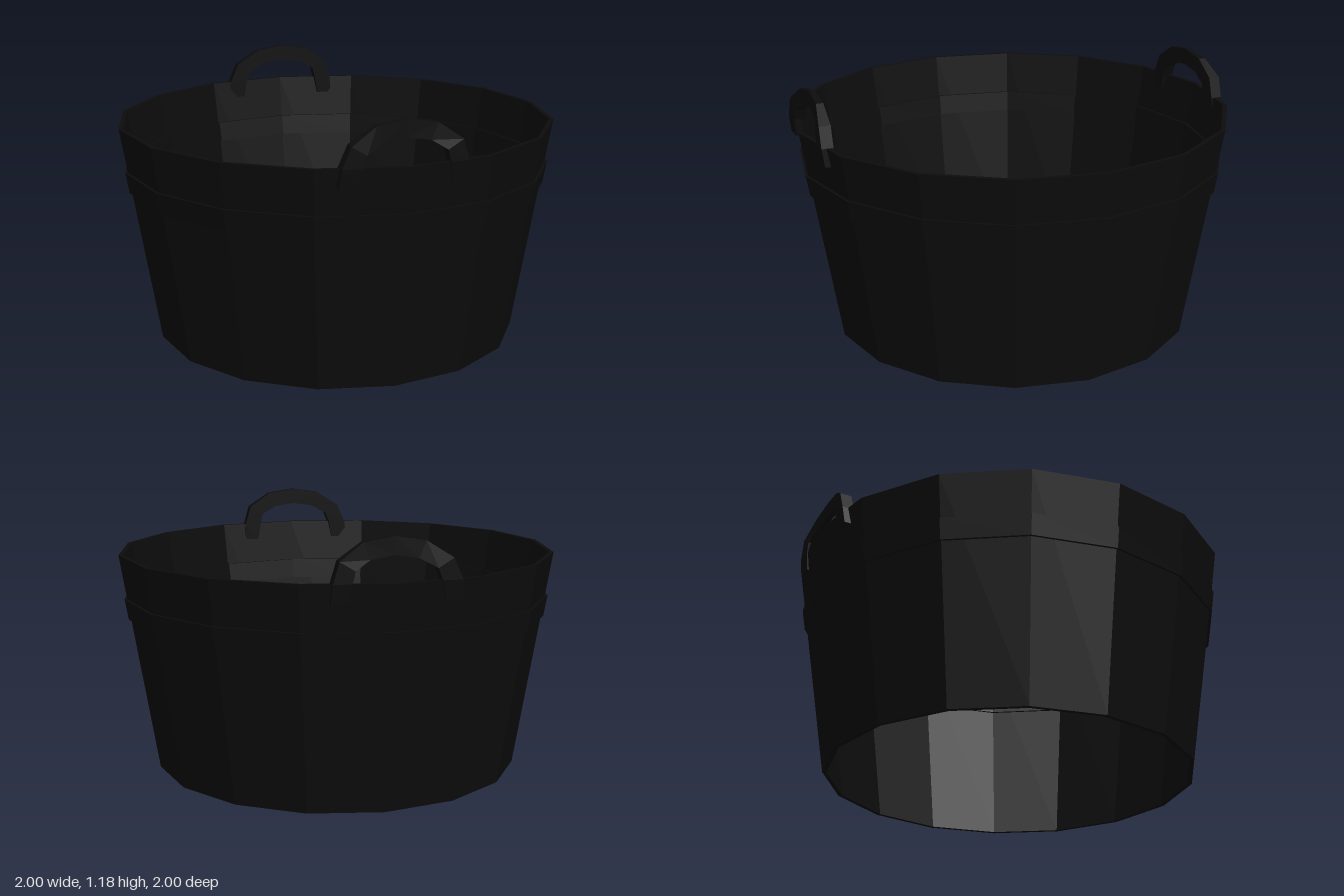
import * as THREE from 'three';

const SIDES = 16;

// Closed ring turned from a profile of [radius, height] points
function ring(name, profile, material) {
  const points = [...profile, profile[0]].map(([r, y]) => new THREE.Vector2(r, y));
  const mesh = new THREE.Mesh(new THREE.LatheGeometry(points, SIDES), material);
  mesh.name = name;
  return mesh;
}

// Arched grip: rectangular sections swept along the arch
function handleGeometry() {
  // [outer x, outer y, inner x, inner y, outward z]
  const stations = [
    [-0.29, 0.92, -0.21, 0.92, 0.96],
    [-0.28, 1.0, -0.195, 1.0, 0.97],
    [-0.24, 1.09, -0.175, 1.05, 0.97],
    [-0.13, 1.16, -0.1, 1.09, 0.95],
    [0, 1.18, 0, 1.105, 0.943],
    [0.13, 1.16, 0.1, 1.09, 0.95],
    [0.23, 1.09, 0.165, 1.05, 0.97],
    [0.257, 1.0, 0.177, 1.0, 0.97],
    [0.265, 0.92, 0.19, 0.92, 0.96],
  ];
  const zIn = 0.918;
  const positions = [];
  const index = [];
  stations.forEach(([ox, oy, ix, iy, z], i) => {
    positions.push(ox, oy, z, ox, oy, zIn, ix, iy, zIn, ix, iy, z);
    if (i === 0) return;
    for (let k = 0; k < 4; k++) {
      const n = (k + 1) % 4;
      const a = (i - 1) * 4 + k, b = (i - 1) * 4 + n, c = i * 4 + n, d = i * 4 + k;
      index.push(a, d, c, a, c, b);
    }
  });
  // End caps
  const e = (stations.length - 1) * 4;
  index.push(0, 1, 2, 0, 2, 3, e, e + 2, e + 1, e, e + 3, e + 2);
  const geometry = new THREE.BufferGeometry();
  geometry.setAttribute('position', new THREE.Float32BufferAttribute(positions, 3));
  geometry.setIndex(index);
  const flat = geometry.toNonIndexed();
  flat.computeVertexNormals();
  return flat;
}

export function createModel() {
  const black = new THREE.MeshStandardMaterial({ color: 0x0c0c0c, flatShading: true, side: THREE.DoubleSide });
  black.name = 'black';
  const model = new THREE.Group();
  model.name = 'tub';

  // Flared wall, open at both ends
  model.add(ring('wall', [[0.84, 0], [1, 1], [0.98, 1], [0.82, 0]], black));

  // Hoop standing proud of the wall inside and out
  model.add(ring('hoop', [[0.964, 0.705], [0.98, 0.8], [0.937, 0.8], [0.921, 0.705]], black));

  // Front and back handles
  const grip = handleGeometry();
  for (const [name, side] of [['frontHandle', 1], ['backHandle', -1]]) {
    const handle = new THREE.Mesh(grip, black);
    handle.name = name;
    handle.scale.z = side;
    model.add(handle);
  }
  return model;
}
